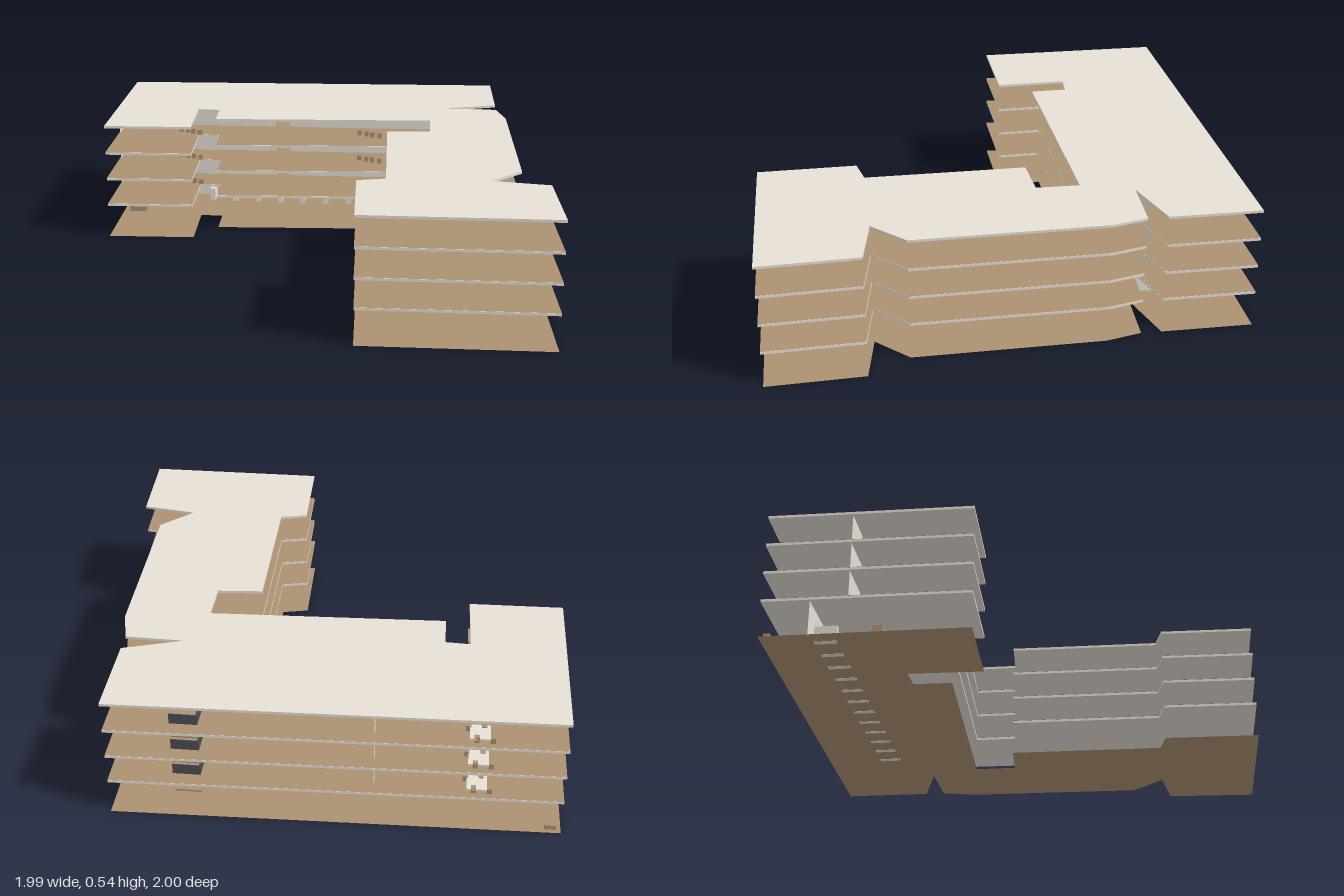
import * as THREE from 'three';

export function createModel() {
  const model = new THREE.Group();
  const mat = (name, color, side = THREE.FrontSide) => {
    const m = new THREE.MeshStandardMaterial({ color, side });
    m.name = name;
    return m;
  };
  const concrete = mat('pale concrete', 0xe6e0d6);
  const concreteBoth = mat('pale concrete two sided', 0xe6e0d6, THREE.DoubleSide);
  const wood = mat('brown floor', 0xad9172, THREE.DoubleSide);
  const dark = mat('dark panel', 0x4c4c54);

  const add = (name, geo, m, x = 0, y = 0, z = 0) => {
    const mesh = new THREE.Mesh(geo, m);
    mesh.name = name;
    mesh.position.set(x, y, z);
    model.add(mesh);
    return mesh;
  };
  // box from its centre in x and z, standing on y
  const box = (name, m, x, y, z, w, h, d) =>
    add(name, new THREE.BoxGeometry(w, h, d), m, x, y + h / 2, z);

  // rectangle with rectangular openings, [u0, u1, y0, y1]
  const panel = ([u0, u1, y0, y1], holes = []) => {
    const rect = (P, a, b, c, d) => {
      const p = new P();
      p.moveTo(a, c); p.lineTo(b, c); p.lineTo(b, d); p.lineTo(a, d); p.closePath();
      return p;
    };
    const s = rect(THREE.Shape, u0, u1, y0, y1);
    holes.forEach(([a, b, c, d]) => s.holes.push(rect(THREE.Path, a, b, c, d)));
    return new THREE.ShapeGeometry(s);
  };
  const wallZ = (name, z, r, holes, m = concrete) => add(name, panel(r, holes), m, 0, 0, z);
  // side wall facing +x; u runs towards the back (u = -z)
  const wallX = (name, x, r, holes, m = concrete) =>
    add(name, panel(r, holes).rotateY(Math.PI / 2), m, x, 0, 0);

  // floor outline as x, z
  const outline = [
    [-0.997, -0.947], [0.805, -1], [0.81, -0.615], [0.565, -0.535], [0.81, -0.53],
    [0.848, -0.38], [0.868, 0.42], [0.736, 0.557], [0.975, 0.595], [0.996, 1],
    [0.208, 1], [0.197, 0.585], [0.315, 0.557], [0.304, -0.12], [0.496, -0.135],
    [0.496, -0.317], [-0.496, -0.275], [-0.5, -0.435], [-0.603, -0.44],
    [-0.592, -0.13], [-0.987, -0.12],
  ];
  const plan = new THREE.Shape(outline.map(([x, z]) => new THREE.Vector2(x, -z)));
  const sheet = () => new THREE.ShapeGeometry(plan).rotateX(-Math.PI / 2);

  add('groundFloor', sheet(), wood, 0, 0.001, 0);
  const levels = [0.15, 0.274, 0.399, 0.525];
  const T = 0.011;
  levels.forEach((y, i) => {
    const slab = new THREE.ExtrudeGeometry(plan, { depth: T, bevelEnabled: false });
    add(i < 3 ? 'floorSlab' : 'roofSlab', slab.rotateX(-Math.PI / 2), concrete, 0, y, 0);
    if (i < 3) add('floorFinish', sheet(), wood, 0, y + T + 0.0008, 0);
  });

  // switchback stair: two flights and a half landing
  const stair = (y, rise) => {
    const n = 9;
    for (let i = 0; i < n; i++) {
      const t = (i + 0.5) / n;
      const z = 0.1 * t;
      box('lowerStep', wood, 0.528, y + (rise / 2) * t - 0.004, -0.775 - z, 0.044, 0.009, 0.014);
      box('upperStep', wood, 0.464, y + (rise / 2) * (1 + t) - 0.007, -0.875 + z, 0.044, 0.009, 0.014);
    }
    box('stairLanding', wood, 0.496, y + rise / 2 - 0.004, -0.905, 0.108, 0.008, 0.05);
  };

  // ground storey
  const top = levels[0];
  wallZ('groundWall', -0.755, [-0.985, 0.488, 0.002, top], [[-0.585, -0.54, 0.003, 0.1]], concreteBoth);
  wallX('groundSideWall', 0.488, [0.43, 0.755, 0.002, top]);
  wallZ('stairBackWall', -0.932, [0.49, 0.56, 0.002, top], [[0.505, 0.55, 0.07, 0.1]]);
  for (let i = 0; i < 12; i++) {
    box('wallFin', concrete, -0.918 + i * 0.1135, 0, -0.7, 0.025, 0.066, 0.09);
  }
  box('receptionDesk', wood, -0.92, 0.002, -0.49, 0.08, 0.042, 0.04);
  box('outdoorBench', wood, -0.955, 0.002, -0.918, 0.045, 0.02, 0.025);
  stair(0.002, top);

  // furniture
  const chair = (x, y, z) => box('chair', wood, x, y, z, 0.02, 0.024, 0.02);
  const tableSet = (x, y, z) => {
    box('tableTop', concrete, x, y + 0.012, z, 0.08, 0.008, 0.09);
    box('tableLeg', concrete, x, y, z, 0.02, 0.012, 0.02);
    [-0.05, -0.016, 0.012, 0.046].forEach((d, i) => chair(x + d, y, z + (i % 2 ? 0.035 : -0.035)));
  };

  // upper storeys
  for (let i = 0; i < 3; i++) {
    const y0 = levels[i] + T + 0.001, y1 = levels[i + 1];
    const window = [0.88, 0.925, y0 + 0.05, y1 - 0.014];
    // long corridor wall with a full-height passage
    wallZ('corridorWallWest', -0.605, [-0.985, -0.248, y0, y1], [], concreteBoth);
    wallZ('corridorWallEast', -0.605, [-0.182, 0.56, y0, y1], [], concreteBoth);
    wallX('windowJamb', -0.25, [0.872, 0.935, y0, y1], [window], concreteBoth);
    wallX('endWall', -0.985, [0.43, 0.755, y0, y1], [[0.626, 0.674, y0 + 0.015, y1 - 0.014]]);
    wallX('stairWall', 0.438, [0.755, 0.932, y0, y1], [window]);

    // stairwell guard and flights
    box('stairGuard', dark, 0.445, y0, -0.843, 0.006, 0.045, 0.175);
    box('stairGuardBack', dark, 0.5, y0, -0.928, 0.11, 0.045, 0.004);
    if (i < 2) stair(y0, y1 - y0 + T);

    // back and corridor tables, then the front row of seats
    tableSet(-0.655, y0, -0.885);
    tableSet(0.215, y0, -0.66);
    for (const x of [-0.645, 0.215]) {
      [-0.05, -0.016, 0.012, 0.046].forEach((d, k) => chair(x + d, y0, -0.49 + 0.015 * k));
    }
    for (const z of [-0.445, -0.485]) chair(0.53, y0, z);
    for (const z of [-0.645, -0.675]) chair(-0.895, y0, z);
  }
  return model;
}
